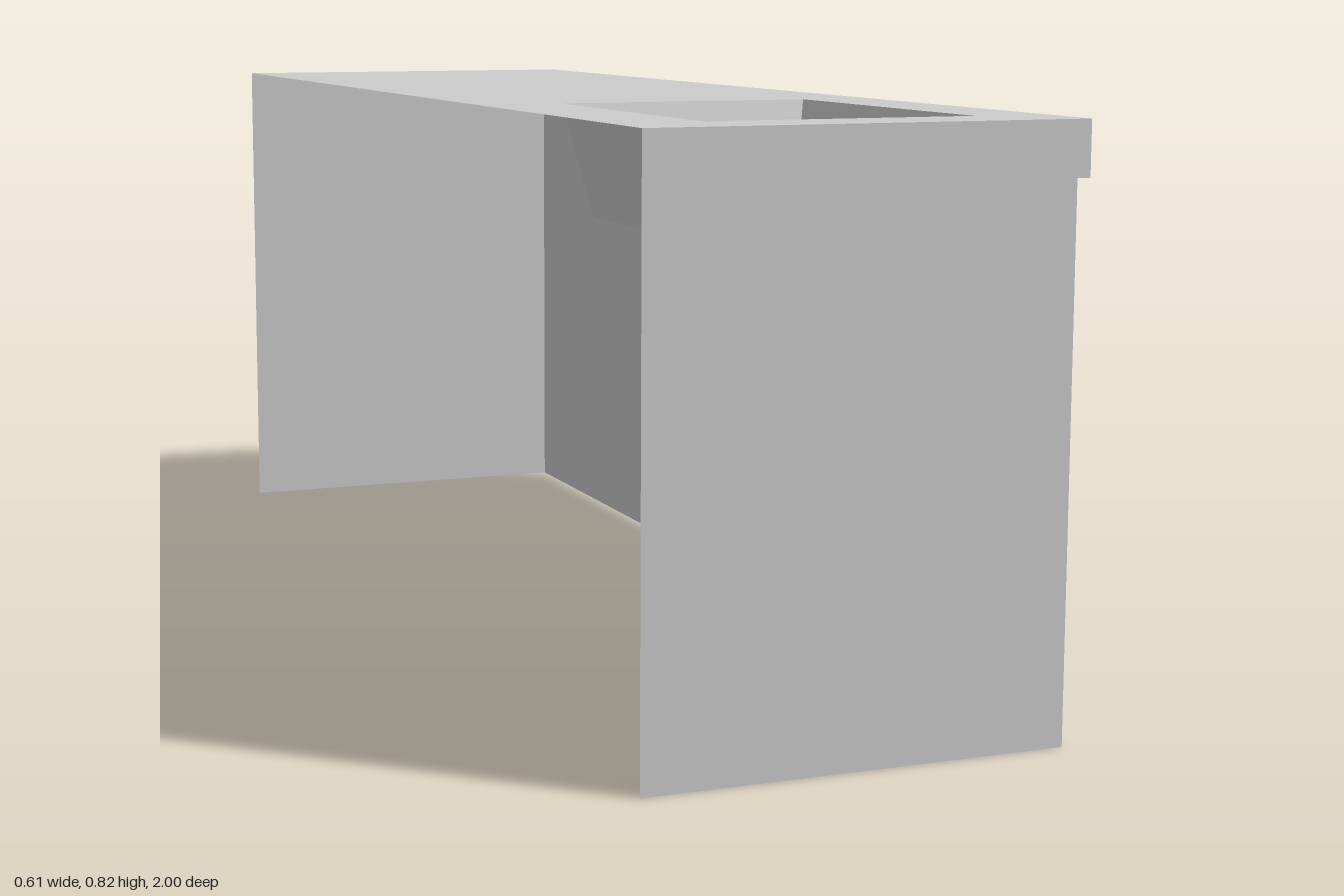
import * as THREE from 'three';

const W = 0.307, PANEL = 0.288, H = 0.82, LIP = 0.745, L = 1;

// Flat-shaded surface from four-cornered faces, corners counter-clockwise seen from outside
function quads(faces) {
  const points = [];
  for (const [a, b, c, d] of faces) points.push(...a, ...b, ...c, ...a, ...c, ...d);
  const geometry = new THREE.BufferGeometry();
  geometry.setAttribute('position', new THREE.Float32BufferAttribute(points, 3));
  geometry.computeVertexNormals();
  return geometry;
}

function polygon(points) {
  return points.map(([x, y]) => new THREE.Vector2(x, y));
}

// Rectangle corners at height y, counter-clockwise seen from above
function ring(x0, x1, z0, z1, y) {
  return [[x0, y, z1], [x1, y, z1], [x1, y, z0], [x0, y, z0]];
}

export function createModel() {
  const group = new THREE.Group();
  const grey = new THREE.MeshStandardMaterial({ color: 0xcccccc, side: THREE.DoubleSide });
  grey.name = 'light grey';
  const add = (name, geometry) => {
    const mesh = new THREE.Mesh(geometry, grey);
    mesh.name = name;
    group.add(mesh);
    return mesh;
  };

  // Basin: sloping walls between the rim and a smaller floor
  const rim = ring(-0.18, 0.2, 0.38, 0.89, H);
  const floor = ring(-0.147, 0.168, 0.42, 0.847, 0.66);
  const walls = rim.map((p, i) => {
    const j = (i + 1) % 4;
    return [rim[j], floor[j], floor[i], p].reverse();
  }).map(([a, b, c, d]) => [d, c, b, a]);
  add('basinWalls', quads(walls));
  add('basinFloor', quads([floor]));

  // Worktop with the basin opening
  const top = new THREE.Shape(polygon([[-W, -L], [W, -L], [W, L], [-W, L]]));
  top.holes.push(new THREE.Path(polygon(rim.map(([x, , z]) => [x, -z]))));
  const worktop = add('worktop', new THREE.ShapeGeometry(top));
  worktop.rotation.x = -Math.PI / 2;
  worktop.position.y = H;

  // Long side panel stepping out to the worktop lip
  const profile = [[PANEL, 0], [PANEL, LIP], [W, LIP], [W, H]];
  const strip = (i) => {
    const [[x0, y0], [x1, y1]] = [profile[i], profile[i + 1]];
    return quads([[[x0, y0, L], [x0, y0, -L], [x1, y1, -L], [x1, y1, L]]]);
  };
  ['sidePanel', 'lipUnderside', 'lipEdge'].forEach((name, i) => add(name, strip(i)));

  // End panels follow the same stepped outline; the remaining long side is open
  const end = new THREE.Shape(polygon([[-W, 0], ...profile, [-W, H]]));
  add('frontEndPanel', new THREE.ShapeGeometry(end)).position.z = L;
  const back = new THREE.ShapeGeometry(end);
  const index = back.index.array;
  for (let i = 0; i < index.length; i += 3) {
    [index[i], index[i + 1]] = [index[i + 1], index[i]];
  }
  back.computeVertexNormals();
  add('backEndPanel', back).position.z = -L;

  return group;
}
